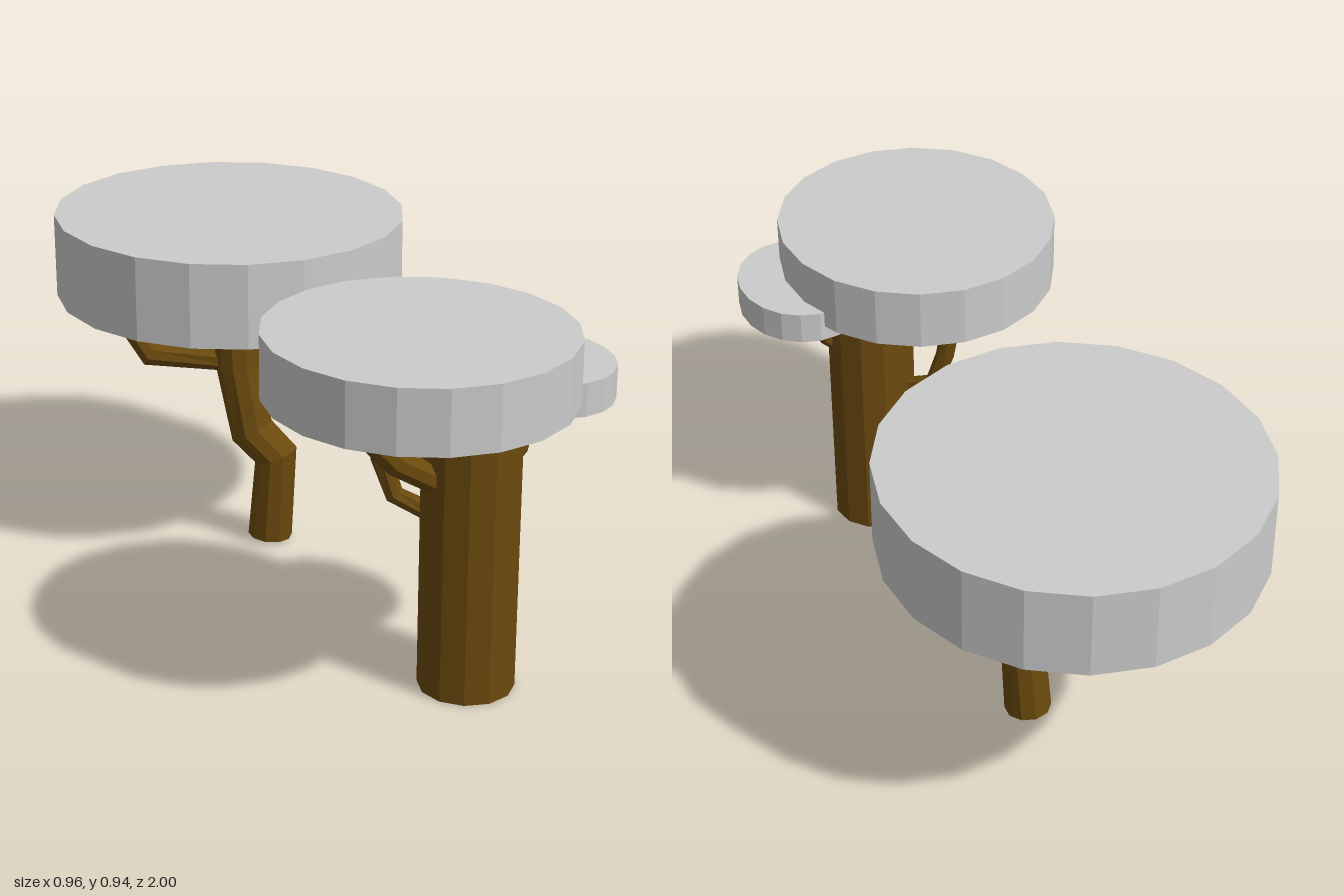
import * as THREE from 'three';

const bark = new THREE.MeshStandardMaterial({ color: 0x6b4a0e, flatShading: true });
const leaf = new THREE.MeshStandardMaterial({ color: 0xcccccc, flatShading: true });

function named(name, geometry, material) {
  const mesh = new THREE.Mesh(geometry, material);
  mesh.name = name;
  return mesh;
}

// Flat twenty-sided slab of foliage, slightly oval
function canopy(name, x, z, rx, rz, y0, y1) {
  const g = new THREE.CylinderGeometry(1, 1, y1 - y0, 20);
  g.scale(rx, 1, rz);
  g.translate(x, (y0 + y1) / 2, z);
  return named(name, g, leaf);
}

// Bent limb: one ring of corners at each point [x, y, z, radius], capped at both ends
function limb(name, path, sides = 8) {
  const pts = path.map(p => new THREE.Vector3(p[0], p[1], p[2]));
  const pos = [], index = [], last = pts.length - 1;
  const ref = new THREE.Vector3(0, 0, 1);
  pts.forEach((p, i) => {
    const t = new THREE.Vector3();
    if (i > 0) t.add(p.clone().sub(pts[i - 1]).normalize());
    if (i < last) t.add(pts[i + 1].clone().sub(p).normalize());
    t.normalize();
    const u = new THREE.Vector3().crossVectors(ref, t).normalize();
    const v = new THREE.Vector3().crossVectors(t, u);
    for (let s = 0; s < sides; s++) {
      const a = (s + 0.5) / sides * Math.PI * 2;
      const q = p.clone().addScaledVector(u, Math.cos(a) * path[i][3]).addScaledVector(v, Math.sin(a) * path[i][3]);
      pos.push(q.x, q.y, q.z);
    }
  });
  for (let i = 0; i < last; i++) {
    for (let s = 0; s < sides; s++) {
      const a = i * sides + s, b = i * sides + (s + 1) % sides;
      index.push(a, b, b + sides, a, b + sides, a + sides);
    }
  }
  for (let s = 1; s < sides - 1; s++) {
    const e = last * sides;
    index.push(0, s + 1, s, e, e + s, e + s + 1);
  }
  const g = new THREE.BufferGeometry();
  g.setAttribute('position', new THREE.Float32BufferAttribute(pos, 3));
  g.setIndex(index);
  const flat = g.toNonIndexed();
  flat.computeVertexNormals();
  return named(name, flat, bark);
}

export function createModel() {
  const model = new THREE.Group();
  model.name = 'twoTrees';

  // Thick straight tree at the front
  const front = new THREE.Group();
  front.name = 'frontTree';
  const trunk = new THREE.CylinderGeometry(0.12, 0.12, 0.79, 12);
  trunk.translate(0.125, 0.395, 0.628);
  front.add(
    named('frontTrunk', trunk, bark),
    canopy('frontCanopy', -0.01, 0.613, 0.369, 0.384, 0.776, 0.935),
    canopy('sideCanopy', 0.32, 0.617, 0.162, 0.192, 0.735, 0.818),
    limb('leftBranch', [[0.06, 0.54, 0.63, 0.035], [-0.08, 0.625, 0.63, 0.034], [-0.23, 0.79, 0.63, 0.03]]),
    limb('backBranch', [[0.06, 0.44, 0.56, 0.025], [-0.01, 0.475, 0.495, 0.025], [-0.04, 0.57, 0.48, 0.025], [-0.075, 0.79, 0.463, 0.025]]),
    limb('backTwig', [[-0.06, 0.68, 0.47, 0.015], [-0.125, 0.72, 0.38, 0.016], [-0.18, 0.79, 0.345, 0.014]], 6),
    limb('rightBranch', [[0.21, 0.57, 0.63, 0.024], [0.25, 0.605, 0.63, 0.024], [0.29, 0.75, 0.63, 0.022]]),
    limb('rightTwig', [[0.27, 0.68, 0.63, 0.012], [0.38, 0.702, 0.63, 0.013], [0.415, 0.75, 0.63, 0.012]], 6)
  );

  // Slender crooked tree behind
  const back = new THREE.Group();
  back.name = 'backTree';
  back.add(
    limb('backTrunk', [[0.03, 0.013, -0.345, 0.061], [0.042, 0.255, -0.33, 0.061], [-0.01, 0.32, -0.373, 0.061], [-0.035, 0.5, -0.403, 0.06], [-0.045, 0.72, -0.42, 0.06]], 10),
    canopy('backCanopy', -0.012, -0.51, 0.47, 0.49, 0.688, 0.914),
    limb('backTreeBranch', [[-0.03, 0.515, -0.41, 0.03], [-0.245, 0.53, -0.525, 0.036], [-0.35, 0.72, -0.58, 0.036]])
  );

  model.add(front, back);
  return model;
}
